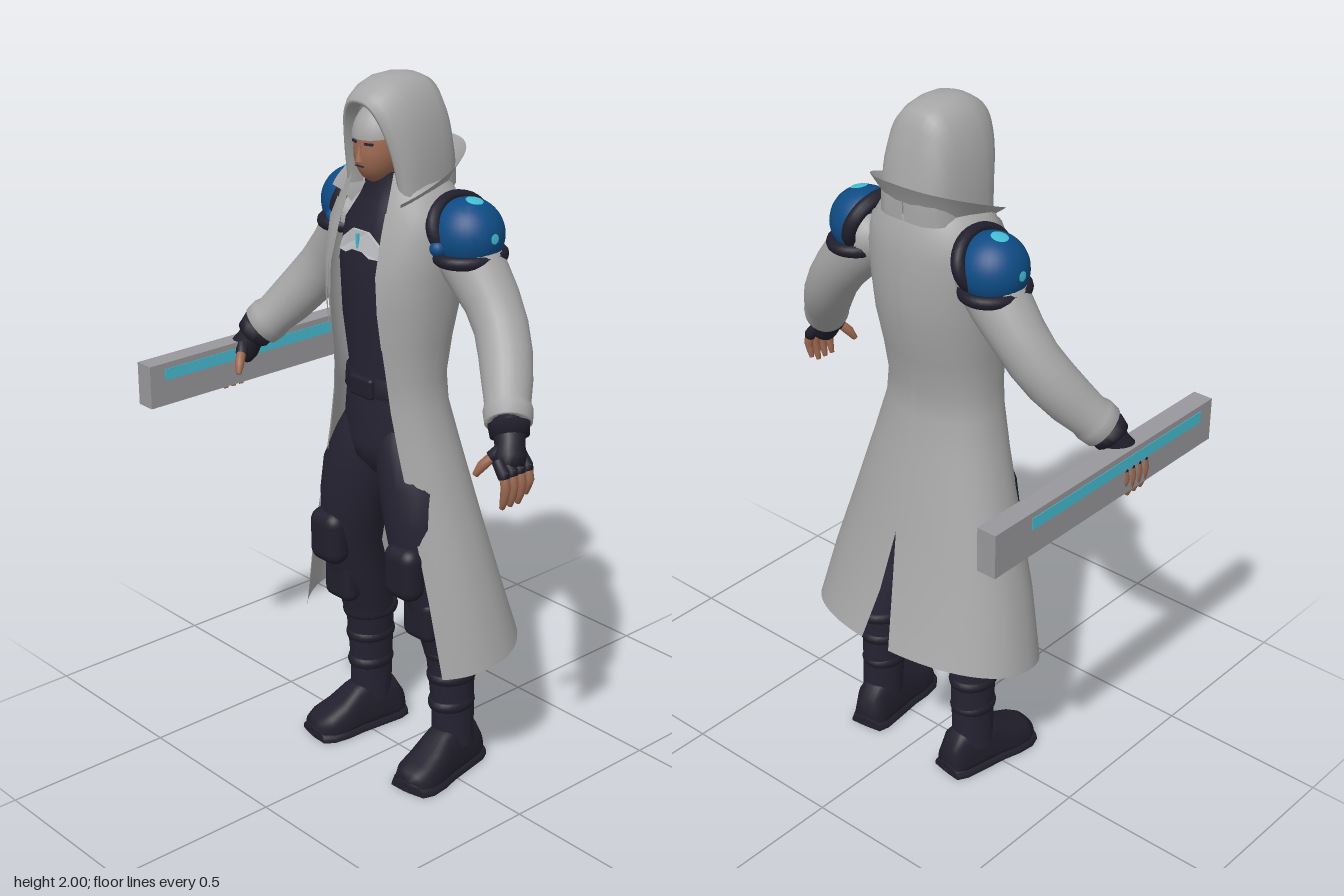
import * as THREE from 'three';
import { toCreasedNormals } from 'three/addons/utils/BufferGeometryUtils.js';
import { RoundedBoxGeometry } from 'three/addons/geometries/RoundedBoxGeometry.js';

const paint = (name, color) => {
  const m = new THREE.MeshStandardMaterial({ color, side: THREE.DoubleSide });
  m.name = name;
  return m;
};
const V = (x, y, z) => new THREE.Vector3(x, y, z);
const pow = (v, p) => Math.sign(v) * Math.abs(v) ** p;

// Skin a list of rings of points; closed joins each ring's end to its start.
function loft(rings, closed = true) {
  const n = rings[0].length, index = [];
  for (let i = 0; i < rings.length - 1; i++) {
    for (let j = 0; j < (closed ? n : n - 1); j++) {
      const k = (j + 1) % n, a = i * n + j, b = i * n + k, c = b + n, d = a + n;
      index.push(a, b, c, a, c, d);
    }
  }
  const g = new THREE.BufferGeometry().setFromPoints(rings.flat());
  g.setIndex(index);
  g.computeVertexNormals();
  return g;
}

// Stack of horizontal ellipses: [y, x, z, rx, rz], bottom to top.
const stack = (rows, n = 24) => loft(rows.map(([y, x, z, rx, rz]) =>
  Array.from({ length: n }, (_, j) => {
    const a = j / n * Math.PI * 2;
    return V(x + rx * Math.sin(a), y, z + rz * Math.cos(a));
  })));

// Tapered limb with closed ends along a path of [x, y, z, r].
function limb(path, n = 16) {
  const pts = path.map(p => V(p[0], p[1], p[2])), last = pts.length - 1;
  const rings = pts.map((p, i) => {
    const t = pts[Math.min(i + 1, last)].clone().sub(pts[Math.max(i - 1, 0)]).normalize();
    const u = t.clone().cross(V(0, 0, 1)).normalize(), v = t.clone().cross(u);
    return Array.from({ length: n }, (_, j) => {
      const a = j / n * Math.PI * 2;
      return p.clone().addScaledVector(u, path[i][3] * Math.cos(a)).addScaledVector(v, path[i][3] * Math.sin(a));
    });
  });
  return loft([Array(n).fill(pts[0]), ...rings, Array(n).fill(pts[last])]);
}

// Row of arches from back to front: [z, halfWidth, top, bottom, lean]; a low power gives boxier arches.
const arches = (rows, closed, power, n = 24) => loft(rows.map(([z, w, top, bottom, lean = 0]) =>
  Array.from({ length: n + 1 }, (_, j) => {
    const c = Math.cos(j / n * Math.PI), s = Math.max(0, Math.sin(j / n * Math.PI));
    return V(w * pow(c, power), bottom + (top - bottom) * s ** 0.8, z - lean * (1 - s));
  })), closed);

// Left half of the coat: [y, halfWidth, backZ, edgeZ, edgeX, slitX, backLift].
const coatRows = [
  [0.355, 0.362, -0.272, 0.10, 0.29, 0.05, 0.095], [0.6, 0.322, -0.222, 0.11, 0.243, 0.022, 0],
  [0.78, 0.27, -0.178, 0.115, 0.195, 0, 0], [1.0, 0.207, -0.13, 0.125, 0.14, 0, 0],
  [1.12, 0.175, -0.105, 0.132, 0.115, 0, 0], [1.2, 0.167, -0.103, 0.137, 0.105, 0, 0],
  [1.3, 0.172, -0.125, 0.15, 0.1, 0, 0], [1.4, 0.185, -0.148, 0.16, 0.095, 0, 0],
  [1.5, 0.192, -0.158, 0.16, 0.09, 0, 0], [1.6, 0.2, -0.155, 0.135, 0.085, 0, 0],
  [1.66, 0.185, -0.145, 0.115, 0.08, 0, 0], [1.71, 0.15, -0.125, 0.1, 0.078, 0, 0],
  [1.76, 0.1, -0.1, 0.085, 0.075, 0, 0],
];
// Without spans the strip runs from the front edge to the centre back.
const coatHalf = (rows, n, spans, out = 0) => loft(rows.map(([y, rx, zb, ze, e, slit, lift], i) => {
  const a0 = Math.asin(e / rx), a1 = spans ? a0 + spans[i] : Math.PI - Math.asin(slit / rx);
  const rz = (ze - zb) / (1 + Math.cos(a0) ** 0.9), zc = zb + rz;
  return Array.from({ length: n + 1 }, (_, j) => {
    const a = a0 + (a1 - a0) * j / n;
    return V((rx + out) * Math.sin(a), y + lift * (1 - Math.cos(a)) / 2, zc + (rz + out) * pow(Math.cos(a), 0.9));
  });
}), false);

export function createModel() {
  const coat = paint('coat grey', 0xa6a6a6), dark = paint('charcoal cloth', 0x252332);
  const leather = paint('dark leather', 0x211f2c), skin = paint('skin', 0x9a6750);
  const blue = paint('armour blue', 0x0e4b84), cyan = paint('glow cyan', 0x45bdd3);
  const steel = paint('steel grey', 0x98979b), pale = paint('pale plate', 0xbabcc0);
  const model = new THREE.Group();
  model.name = 'hoodedFigure';

  const add = (name, geo, mat) => {
    const m = new THREE.Mesh(geo, mat);
    m.name = name;
    model.add(m);
  };
  // Adds a part on the left (+x) and its mirror image on the right.
  const pair = (name, geo, mat) => {
    add(name + 'Left', geo, mat);
    const g = geo.clone().scale(-1, 1, 1);
    const idx = g.index ? Array.from(g.index.array) : Array.from({ length: g.attributes.position.count }, (_, i) => i);
    for (let i = 0; i < idx.length; i += 3) [idx[i], idx[i + 1]] = [idx[i + 1], idx[i]];
    g.setIndex(idx);
    add(name + 'Right', g, mat);
  };
  const block = (w, h, d, x, y, z, r = 0.015) => new RoundedBoxGeometry(w, h, d, 3, r).translate(x, y, z);

  // Torso, belt and chest plate
  add('torso', stack([[0.9, 0, 0.015, 0.06, 0.07], [0.95, 0, 0.018, 0.12, 0.108], [1.0, 0, 0.02, 0.16, 0.115],
    [1.12, 0, 0.02, 0.147, 0.11], [1.2, 0, 0.02, 0.137, 0.103], [1.35, 0, 0.03, 0.15, 0.11], [1.5, 0, 0.03, 0.16, 0.113],
    [1.6, 0, 0.02, 0.15, 0.105], [1.67, 0, 0.015, 0.1, 0.085], [1.71, 0, 0.03, 0.066, 0.064],
    [1.755, 0, 0.035, 0.063, 0.063]]), dark);
  add('belt', stack([[1.135, 0, 0.02, 0.14, 0.104], [1.14, 0, 0.02, 0.15, 0.115],
    [1.19, 0, 0.02, 0.147, 0.112], [1.195, 0, 0.02, 0.135, 0.1]]), leather);
  add('buckle', block(0.09, 0.06, 0.025, 0, 1.165, 0.13, 0.01), leather);
  const plate = new THREE.Shape([[-0.08, 1.535], [-0.045, 1.535], [-0.02, 1.548], [0.02, 1.548], [0.045, 1.535], [0.08, 1.535],
    [0.07, 1.57], [0.03, 1.6], [-0.03, 1.6], [-0.07, 1.57]].map(p => new THREE.Vector2(...p)));
  const plateGeo = new THREE.ExtrudeGeometry(plate, { depth: 0.008, bevelEnabled: false });
  const pp = plateGeo.attributes.position;
  for (let i = 0; i < pp.count; i++) pp.setZ(i, pp.getZ(i) + 0.136 - 2 * pp.getX(i) ** 2 - (pp.getY(i) - 1.57) * 0.2);
  plateGeo.computeVertexNormals();
  add('chestPlate', plateGeo, pale);
  add('chestLight', new THREE.BoxGeometry(0.008, 0.04, 0.006).translate(0, 1.574, 0.144), cyan);

  // Long coat, tapering lapels and flared collar with straight sides
  pair('coat', coatHalf(coatRows, 28), coat);
  pair('lapel', coatHalf(coatRows.slice(6, 11), 6, [0.02, 0.15, 0.3, 0.45, 0.3], 0.007), coat);
  const collarRing = (rx, rz, zc, front, back) => Array.from({ length: 41 }, (_, j) => {
    const a = 0.85 + j / 40 * (Math.PI * 2 - 1.7), k = (1 - Math.cos(a)) / 2;
    return V(rx * pow(Math.sin(a), 0.75), front + (back - front) * k ** 0.8, zc + rz * Math.cos(a));
  });
  add('collar', loft([collarRing(0.12, 0.12, 0.0, 1.63, 1.7), collarRing(0.138, 0.14, 0.002, 1.65, 1.755),
    collarRing(0.165, 0.172, 0.001, 1.655, 1.812)], false), coat);

  // Hood with a turned-in rim
  add('hood', arches([[-0.137, 0.002, 1.78, 1.7], [-0.135, 0.06, 1.79, 1.7], [-0.12, 0.092, 1.87, 1.7],
    [-0.1, 0.107, 1.94, 1.7], [-0.08, 0.116, 1.978, 1.7], [-0.05, 0.124, 1.993, 1.69], [0, 0.131, 2.0, 1.69, 0.005],
    [0.05, 0.131, 1.998, 1.69, 0.01], [0.09, 0.125, 1.985, 1.69, 0.02], [0.125, 0.112, 1.962, 1.7, 0.045],
    [0.143, 0.097, 1.945, 1.7, 0.06], [0.14, 0.088, 1.935, 1.7, 0.06], [0.1, 0.084, 1.93, 1.7, 0.05]], false, 0.76), coat);

  // Head: jaw narrows toward the chin
  const head = new THREE.SphereGeometry(1, 32, 24).scale(0.076, 0.105, 0.088);
  const hp = head.attributes.position;
  for (let i = 0; i < hp.count; i++) {
    const low = Math.max(0, -hp.getY(i) / 0.105);
    hp.setX(i, hp.getX(i) * (1 - 0.15 * low));
    hp.setZ(i, hp.getZ(i) + 0.025 * low);
  }
  head.computeVertexNormals();
  add('head', head.translate(0, 1.825, 0.045), skin);
  add('forelock', new THREE.SphereGeometry(1, 32, 12, 0, Math.PI * 2, 0, 1.4).scale(0.077, 0.1, 0.093)
    .rotateX(0.12).translate(0, 1.837, 0.048), coat);
  add('nose', new THREE.ConeGeometry(0.012, 0.045, 8).scale(1, 1, 1.1).translate(0, 1.808, 0.135), skin);
  add('mouth', new THREE.BoxGeometry(0.03, 0.003, 0.004).translate(0, 1.772, 0.135), dark);
  pair('eye', new THREE.BoxGeometry(0.024, 0.006, 0.006).rotateY(0.3).translate(0.027, 1.832, 0.127), dark);

  // Sleeves with folded cuffs
  pair('sleeve', limb([[0.16, 1.62, -0.035, 0.075], [0.2, 1.575, -0.04, 0.086], [0.25, 1.515, -0.045, 0.083],
    [0.31, 1.445, -0.045, 0.075], [0.355, 1.385, -0.035, 0.072], [0.395, 1.33, -0.012, 0.071], [0.435, 1.275, 0.02, 0.067],
    [0.47, 1.23, 0.052, 0.06], [0.482, 1.217, 0.062, 0.065], [0.5, 1.195, 0.078, 0.062], [0.502, 1.193, 0.08, 0.05]], 24), coat);

  // Fingerless gloves and hands
  pair('glove', limb([[0.495, 1.205, 0.075, 0.044], [0.515, 1.175, 0.088, 0.042], [0.528, 1.15, 0.1, 0.039],
    [0.54, 1.125, 0.112, 0.044], [0.55, 1.1, 0.118, 0.036]]), leather);
  pair('gloveCuff', limb([[0.503, 1.195, 0.08, 0.055], [0.52, 1.168, 0.092, 0.051]]), leather);
  for (let i = 0; i < 4; i++) {
    const z = 0.078 + i * 0.028, drop = i === 0 ? 0.018 : 0;
    pair('gloveFinger' + i, limb([[0.545, 1.13, z, 0.015], [0.568, 1.1, z, 0.017], [0.572, 1.088, z, 0.015]], 10), leather);
    pair('finger' + i, limb([[0.57, 1.105, z, 0.013], [0.578, 1.065, z, 0.013], [0.573, 1.03 + drop, z, 0.011],
      [0.566, 1.005 + drop, z, 0.007]], 10), skin);
  }
  pair('gloveThumb', limb([[0.53, 1.15, 0.12, 0.02], [0.508, 1.122, 0.147, 0.017]], 10), leather);
  pair('thumb', limb([[0.513, 1.128, 0.142, 0.014], [0.495, 1.1, 0.165, 0.014], [0.484, 1.075, 0.178, 0.008]], 10), skin);

  // Shoulder armour: dome cut flat below and along a slanted inner plane
  const cx = 0.22, cy = 1.605, cz = -0.043;
  const size = g => g.scale(0.098, 0.096, 0.096).translate(cx, cy, cz);
  const dome = size(new THREE.SphereGeometry(1, 32, 24));
  const dp = dome.attributes.position;
  for (let i = 0; i < dp.count; i++) {
    dp.setY(i, Math.max(dp.getY(i), 1.545));
    dp.setX(i, Math.max(dp.getX(i), 0.19 - (dp.getY(i) - 1.62) * 0.375));
  }
  dome.computeVertexNormals();
  pair('shoulderDome', toCreasedNormals(dome, 0.7), blue);
  pair('shoulderInnerRim', new THREE.TorusGeometry(0.094, 0.018, 10, 32).rotateY(Math.PI / 2)
    .scale(1.15, 0.84, 1).rotateZ(0.36).translate(0.19, 1.62, cz), leather);
  pair('shoulderLowerRim', new THREE.TorusGeometry(0.09, 0.014, 10, 32).rotateX(Math.PI / 2)
    .scale(0.87, 1.25, 1.05).translate(0.23, 1.55, cz), leather);
  pair('shoulderStud', new THREE.SphereGeometry(0.022, 16, 12).translate(0.205, 1.58, 0.05), blue);
  [[0.24, -0.23], [0.14, -1.5]].forEach(([spread, tilt], i) =>
    pair('shoulderLight' + i, size(new THREE.SphereGeometry(1.02, 16, 4, 0, Math.PI * 2, 0, spread).rotateZ(tilt)), cyan));

  // Trousers, knee pads and pouches
  pair('leg', stack([[0.08, 0.178, -0.05, 0.058, 0.062], [0.2, 0.175, -0.05, 0.056, 0.066], [0.35, 0.172, -0.043, 0.064, 0.073],
    [0.42, 0.17, -0.03, 0.075, 0.08], [0.52, 0.166, 0.005, 0.083, 0.087], [0.62, 0.156, 0.035, 0.08, 0.085],
    [0.7, 0.146, 0.042, 0.09, 0.093], [0.8, 0.131, 0.042, 0.104, 0.1], [0.9, 0.112, 0.036, 0.111, 0.105],
    [1.0, 0.083, 0.025, 0.088, 0.108], [1.06, 0.07, 0.02, 0.07, 0.09]]), dark);
  pair('kneePad', block(0.12, 0.16, 0.08, 0.157, 0.665, 0.12, 0.038), leather);
  pair('shinGuard', block(0.115, 0.13, 0.06, 0.168, 0.51, 0.065, 0.028), leather);
  pair('thighPouch', block(0.05, 0.12, 0.08, 0.2, 0.79, 0.01, 0.02), dark);
  pair('calfPouch', block(0.04, 0.15, 0.1, 0.235, 0.5, -0.01, 0.018), dark);

  // Boots: shaft bands, foot and sole
  [[0.21, 0.052], [0.3, 0.056], [0.38, 0.064]].forEach(([y, r], i) =>
    pair('bootBand' + i, new THREE.TorusGeometry(r, 0.01, 8, 24).rotateX(Math.PI / 2).scale(1, 1.8, 1.17)
      .translate(0.174, y, -0.046), leather));
  const foot = [[-0.147, 0.002, 0.03], [-0.145, 0.042, 0.08], [-0.115, 0.054, 0.13], [-0.03, 0.058, 0.15], [0.02, 0.06, 0.13],
    [0.07, 0.067, 0.095], [0.12, 0.066, 0.075], [0.15, 0.05, 0.06], [0.155, 0.002, 0.03]];
  const place = g => g.rotateY(0.15).translate(0.183, 0, 0);
  pair('boot', place(arches(foot.map(([z, w, t]) => [z, w, t, 0.01]), true, 0.6)), leather);
  pair('sole', toCreasedNormals(place(arches(foot.map(([z, w]) => [z * 1.03, w + 0.008, 0.03, 0]), true, 0.6)), 0.8), leather);

  // Long bar weapon in the right hand, with a light strip on each side
  add('weaponBar', new THREE.BoxGeometry(0.058, 0.125, 0.906).translate(-0.555, 1.09, 0), steel);
  for (const s of [-1, 1]) {
    add('weaponStrip', new THREE.BoxGeometry(0.004, 0.034, 0.715).translate(-0.555 + s * 0.0285, 1.118, 0.045), cyan);
  }
  return model;
}
